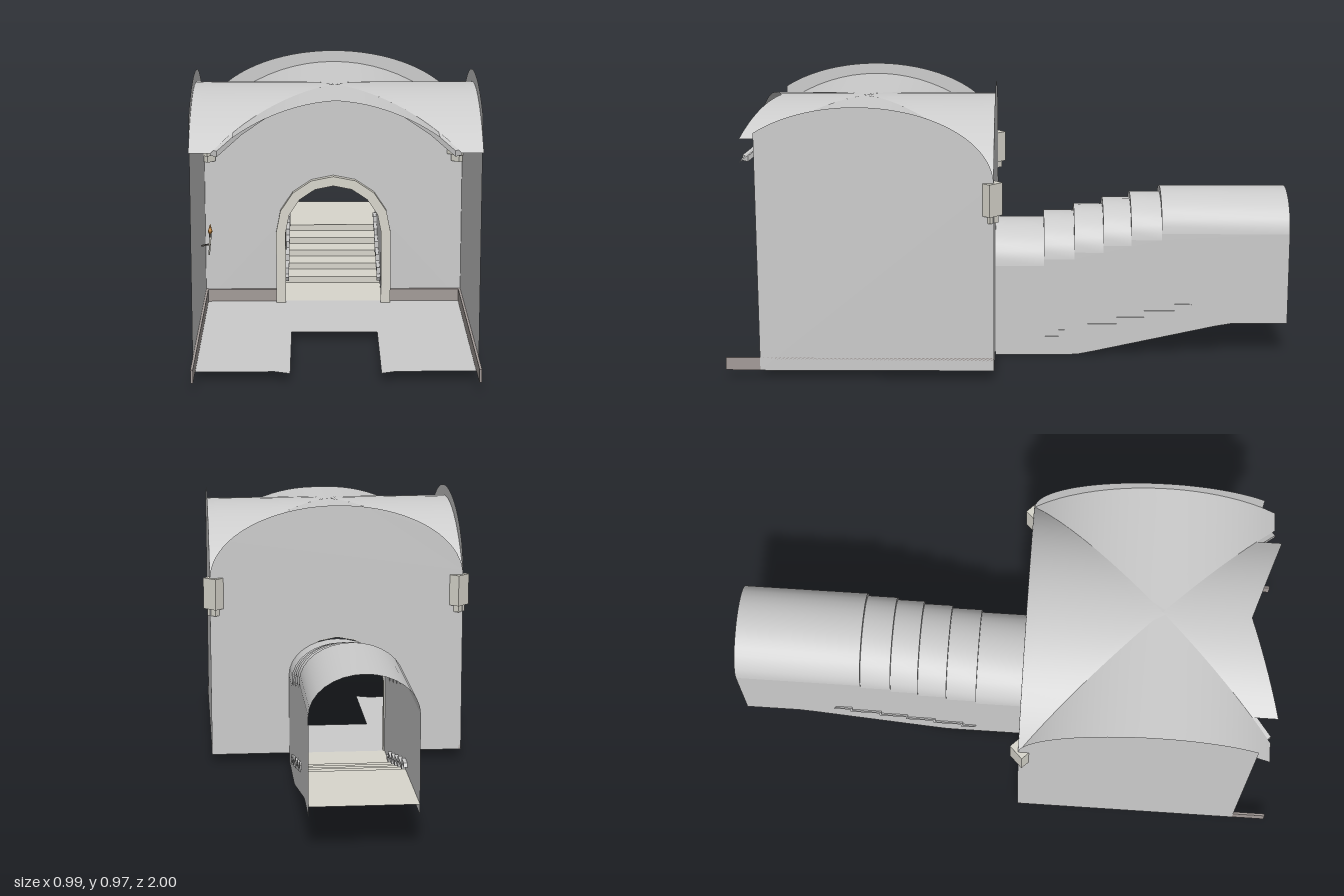
import * as THREE from 'three';
import { ParametricGeometry } from 'three/addons/geometries/ParametricGeometry.js';

const HALF = 0.47, MID = 0.53, BASE = 0.033; // room half width, room centre in z, floor height

function material(color = 0xcccccc) {
  return new THREE.MeshStandardMaterial({ color, side: THREE.DoubleSide });
}
const grey = material();
const pale = material(0xd8d6cc);
const brown = material(0xa39b98);
const metal = material(0x55504c);
const flameColor = material(0xc98a3c);

function add(parent, name, geometry, mat = grey, pos = [0, 0, 0]) {
  const mesh = new THREE.Mesh(geometry, mat);
  mesh.name = name;
  mesh.position.set(...pos);
  parent.add(mesh);
  return mesh;
}

const shapeOf = pts => new THREE.Shape(pts.map(p => new THREE.Vector2(...p)));

// Grid surface from a rule (u, v) -> [x, y, z]
function surface(rule, nu, nv) {
  const g = new ParametricGeometry((u, v, t) => t.set(...rule(u, v)), nu, nv);
  g.computeVertexNormals();
  return g;
}

// Flat (z, y) outline turned to stand along z
const sidePanel = pts => new THREE.ShapeGeometry(shapeOf(pts)).rotateY(-Math.PI / 2);

// Wall top: half ellipse; vault: circular arc
const wallTop = d => 0.70 + 0.27 * Math.sqrt(Math.max(0, 1 - (d / HALF) ** 2));
const vaultY = d => 0.93 - 0.6 + Math.sqrt(0.36 - d * d);

// Arched outline, straight jambs and a round head
function archPoints(r, bottom, n = 8) {
  const pts = [[r, bottom]];
  for (let i = 0; i <= n; i++) {
    const a = Math.PI * i / n;
    pts.push([r * Math.cos(a), 0.30 + r * Math.sin(a)]);
  }
  pts.push([-r, bottom]);
  return pts;
}

function buildWalls(room) {
  const arc = (from, to) => Array.from({ length: 41 }, (_, i) => {
    const s = Math.sin(from + (to - from) * i / 40);
    return [HALF * s, wallTop(HALF * s)];
  });
  // Back wall with the doorway cut out
  const top = arc(Math.PI / 2, -Math.PI / 2);
  const back = shapeOf([[-0.178, BASE], [-HALF, BASE], ...top.reverse(), [HALF, BASE], [0.178, BASE],
    ...archPoints(0.178, BASE).slice(1, -1)]);
  add(room, 'backWall', new THREE.ShapeGeometry(back), grey, [0, 0, 0.06]);

  // Side walls, cut short at the front
  const side = arc(-Math.PI / 2, Math.asin(0.35 / HALF)).map(([d, y]) => [MID + d, y]);
  for (const s of [-1, 1]) {
    const name = s > 0 ? 'left' : 'right';
    add(room, name + 'Wall', sidePanel([[0.06, BASE], ...side, [0.88, BASE]]), grey, [s * HALF, 0, 0]);
    add(room, name + 'Skirting', new THREE.BoxGeometry(0.008, 0.045, 0.94), brown, [s * 0.466, 0.057, MID]);
    add(room, name + 'BackSkirting', new THREE.BoxGeometry(0.26, 0.045, 0.01), brown, [s * 0.34, 0.057, 0.066]);
  }

  // Floor with a notch open to the front
  const right = [[0.15, 0.45], [0.15, 0.90], [0.20, 0.88], [HALF, 0.88], [HALF, 0.06]];
  const left = right.map(([x, z]) => [-x, z]).reverse();
  add(room, 'floor', new THREE.ShapeGeometry(shapeOf([...right, ...left])).rotateX(Math.PI / 2), grey, [0, BASE, 0]);

  // Door surround
  const frame = shapeOf([...archPoints(0.21, BASE), ...archPoints(0.175, BASE).reverse()]);
  add(room, 'doorFrame', new THREE.ExtrudeGeometry(frame, { depth: 0.025, bevelEnabled: false }), pale, [0, 0, 0.061]);
}

function buildVault(room) {
  // Each web runs from the groin out to an edge: a is across, r is outward
  const web = (from, to, edge, place) => surface((u, v) => {
    const a = from + (to - from) * u;
    const r = Math.abs(a) + (edge(a) - Math.abs(a)) * v;
    return place(a, vaultY(a), r);
  }, 20, 8);
  const full = () => HALF;
  add(room, 'backVault', web(-HALF, HALF, full, (a, y, r) => [a, y, MID - r]));
  add(room, 'frontVault', web(-0.33, 0.33, a => 0.31 + Math.abs(a) / 3, (a, y, r) => [a, y, MID + r]));
  for (const s of [-1, 1]) {
    add(room, s > 0 ? 'leftVault' : 'rightVault', web(-HALF, 0.40, full, (a, y, r) => [s * r, y, MID + a]));
  }

  // Diagonal ribs under the groins
  for (const sx of [-1, 1]) for (const sz of [-1, 1]) {
    const end = sz > 0 ? 0.39 : 0.455;
    const upper = [], lower = [];
    for (let i = 0; i <= 5; i++) {
      const d = end * i / 5;
      upper.push([d * Math.SQRT2, vaultY(d) - 0.001]);
      lower.unshift([d * Math.SQRT2, vaultY(d) - 0.02]);
    }
    const g = new THREE.ExtrudeGeometry(shapeOf([...upper, ...lower]), { depth: 0.03, bevelEnabled: false });
    g.translate(0, 0, -0.015);
    add(room, 'rib', g, grey, [0, 0, MID]).rotation.y = Math.atan2(-sz, sx);
  }

  // Corbels in the back corners
  for (const s of [-1, 1]) {
    const corbel = new THREE.Group();
    corbel.name = 'corbel';
    corbel.position.set(s * 0.454, 0, 0.07);
    corbel.rotation.y = s * -Math.PI / 4;
    add(corbel, 'corbelBlock', new THREE.BoxGeometry(0.062, 0.115, 0.05), pale, [0, 0.648, 0]);
    add(corbel, 'corbelFoot', new THREE.BoxGeometry(0.04, 0.026, 0.032), pale, [0, 0.578, 0]);
    room.add(corbel);
  }
}

function buildPassage(passage) {
  const W = 0.18;
  const cuts = [0.06, -0.115, -0.225, -0.33, -0.43, -0.54, -1];
  const springs = [0.335, 0.36, 0.385, 0.41, 0.432, 0.455];

  // Barrel roof in rising sections, with a face closing each step
  const roof = (z0, y0, z1, y1, n) => surface((u, v) => [
    W * Math.cos(Math.PI * u),
    y0 + (y1 - y0) * v + 0.135 * Math.sin(Math.PI * u),
    z0 + (z1 - z0) * v], n, 1);
  const top = [];
  springs.forEach((y, i) => {
    add(passage, 'roofSection', roof(cuts[i], y, cuts[i + 1], y, 16));
    if (i) add(passage, 'roofStep', roof(cuts[i], springs[i - 1], cuts[i], y, 16));
    top.push([cuts[i], y], [cuts[i + 1], y]);
  });

  // Side walls
  const bottom = [[-1, 0.12], [-0.80, 0.12], [-0.74, 0.11], [-0.30, 0.014], [-0.24, 0.002], [-0.20, 0], [0.06, 0]];
  for (const s of [-1, 1]) add(passage, 'passageWall', sidePanel([...top, ...bottom]), grey, [s * W, 0, 0]);

  // Stairs: treads and risers
  const steps = [0.06, -0.18, -0.285, -0.39, -0.49, -0.60, -1];
  const rise = 0.0245;
  for (let i = 0; i < 6; i++) {
    const y = BASE + rise * i, len = steps[i] - steps[i + 1];
    add(passage, 'tread', new THREE.PlaneGeometry(2 * W, len).rotateX(-Math.PI / 2), pale,
      [0, y, (steps[i] + steps[i + 1]) / 2]);
    if (i) add(passage, 'riser', new THREE.PlaneGeometry(2 * W, rise), pale, [0, y - rise / 2, steps[i]]);
  }

  // Stepped trim on both sides, following the stairs
  const line = [[-0.12, BASE]];
  for (let i = 1; i < 6; i++) {
    line.push([steps[i] + 0.01, BASE + rise * (i - 1)], [steps[i] + 0.01, BASE + rise * i]);
  }
  line.push([-0.65, BASE + rise * 5]);
  const trim = shapeOf([...line.map(([z, y]) => [z, y + 0.037]),
    ...line.map(([z, y]) => [z - 0.008, y + 0.022]).reverse()]);
  for (const s of [-1, 1]) {
    const g = new THREE.ExtrudeGeometry(trim, { depth: 0.018, bevelEnabled: false });
    g.translate(0, 0, -0.009).rotateY(-Math.PI / 2);
    add(passage, 'stairTrim', g, grey, [s * 0.176, 0, 0]);
  }
}

// Wall torch on the right wall
function buildTorch(torch) {
  torch.position.set(-0.44, 0, 0.32);
  add(torch, 'torchStaff', new THREE.CylinderGeometry(0.004, 0.003, 0.065, 6), pale, [0, 0.312, 0]).rotation.z = -0.08;
  add(torch, 'torchCup', new THREE.CylinderGeometry(0.006, 0.004, 0.014, 6), metal, [0.002, 0.351, 0]);
  add(torch, 'torchBracket', new THREE.BoxGeometry(0.034, 0.005, 0.006), metal, [-0.013, 0.316, 0]).rotation.z = 0.2;
  add(torch, 'torchFlameBase', new THREE.CylinderGeometry(0.009, 0.005, 0.008, 6), flameColor, [0.002, 0.362, 0]);
  add(torch, 'torchFlame', new THREE.ConeGeometry(0.009, 0.028, 6), flameColor, [0.002, 0.38, 0]);
}

export function createModel() {
  const model = new THREE.Group();
  model.name = 'vaultedRoom';
  const part = name => {
    const g = new THREE.Group();
    g.name = name;
    model.add(g);
    return g;
  };
  buildWalls(part('room'));
  buildVault(part('vault'));
  buildPassage(part('stairPassage'));
  buildTorch(part('torch'));
  return model;
}
